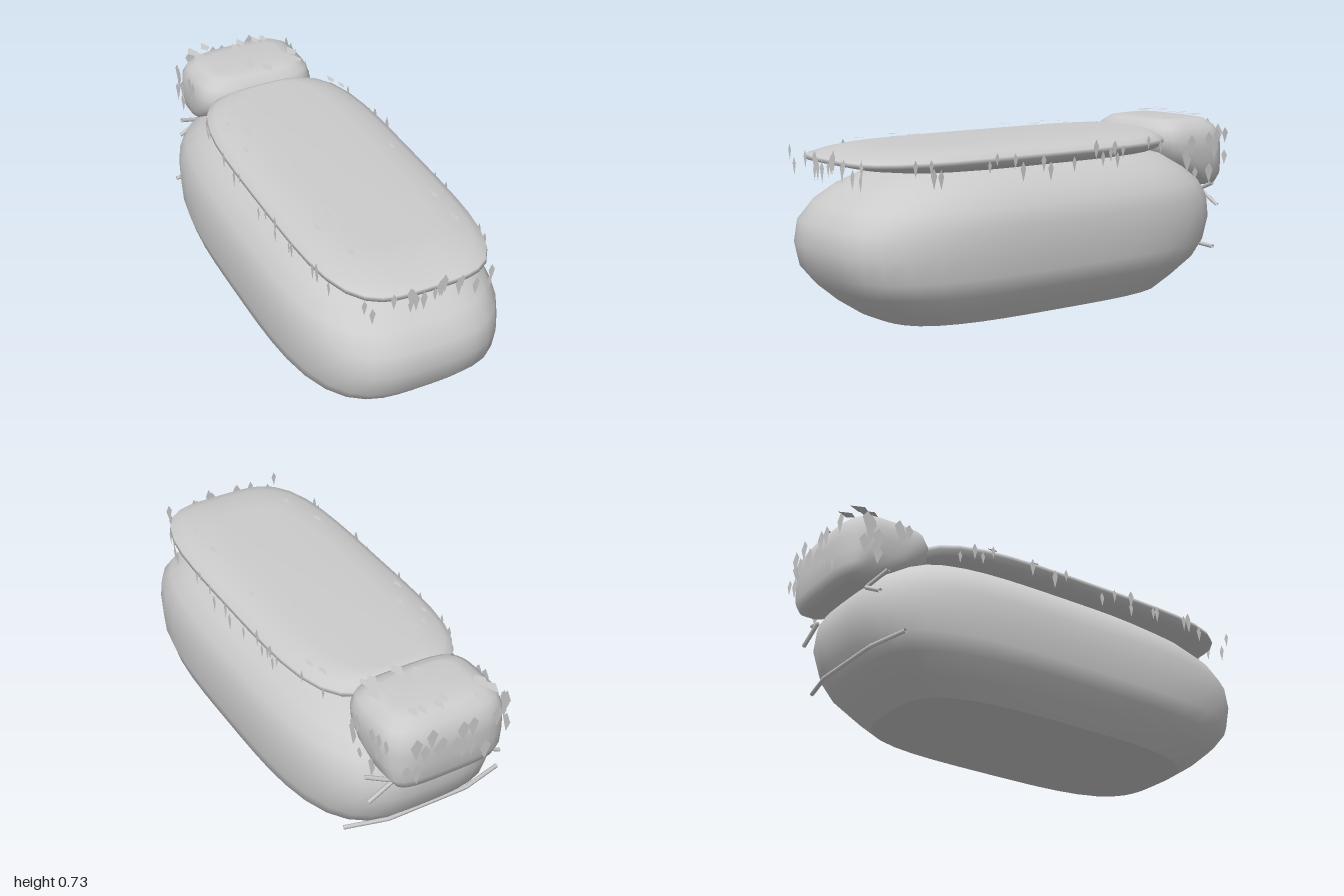
import * as THREE from 'three';

const grey = new THREE.MeshStandardMaterial({ color: 0xcccccc, side: THREE.DoubleSide });

// Stacks rounded-rectangle rings; each level is [y, half width, back z, front z]
function loft(name, levels, power, flatBase) {
  const N = 48, pos = [], idx = [];
  const first = levels[0], last = levels[levels.length - 1];
  const centre = ([y, , a, b]) => [y, 0, (a + b) / 2, (a + b) / 2];
  const rings = [centre(first), ...(flatBase ? [first] : []), ...levels, centre(last)];
  for (const [y, hx, zb, zf] of rings) {
    for (let i = 0; i < N; i++) {
      const t = (i / N) * Math.PI * 2, c = Math.cos(t), s = Math.sin(t);
      const r = Math.pow(Math.abs(c) ** power + Math.abs(s) ** power, -1 / power);
      pos.push(c * r * hx, y, (zb + zf) / 2 + s * r * (zf - zb) / 2);
    }
  }
  for (let j = 0; j < rings.length - 1; j++) {
    for (let i = 0; i < N; i++) {
      const a = j * N + i, b = j * N + (i + 1) % N, c = a + N, d = b + N;
      idx.push(a, c, b, b, c, d);
    }
  }
  const g = new THREE.BufferGeometry();
  g.setAttribute('position', new THREE.Float32BufferAttribute(pos, 3));
  g.setIndex(idx);
  g.computeVertexNormals();
  const mesh = new THREE.Mesh(g, grey);
  mesh.name = name;
  return mesh;
}

// Flat kite with its long tip pointing down
function kiteGeometry(w, h) {
  return new THREE.ShapeGeometry(new THREE.Shape([
    new THREE.Vector2(0, h * 0.35), new THREE.Vector2(-w / 2, 0),
    new THREE.Vector2(0, -h * 0.65), new THREE.Vector2(w / 2, 0),
  ]));
}

export function createModel() {
  const model = new THREE.Group();
  let seed = 7;
  const rnd = (a, b) => {
    seed = (seed * 16807) % 2147483647;
    return a + (b - a) * (seed / 2147483647);
  };

  // Plump body with a flat base
  model.add(loft('body', [
    [0, 0.32, -0.63, 0.74], [0.06, 0.375, -0.71, 0.83], [0.13, 0.43, -0.79, 0.91],
    [0.2, 0.447, -0.845, 0.97], [0.3, 0.446, -0.88, 0.995], [0.39, 0.441, -0.87, 0.98],
    [0.46, 0.415, -0.83, 0.92], [0.52, 0.365, -0.76, 0.83], [0.58, 0.29, -0.66, 0.69],
    [0.61, 0.2, -0.5, 0.52],
  ], 3.5, true));

  // Thin slab lying on the body
  model.add(loft('topSlab', [
    [0.59, 0.25, -0.52, 0.6], [0.6, 0.3, -0.57, 0.75], [0.615, 0.338, -0.61, 0.86],
    [0.635, 0.36, -0.63, 0.945], [0.652, 0.358, -0.63, 0.94], [0.67, 0.325, -0.61, 0.88],
    [0.685, 0.27, -0.59, 0.8], [0.695, 0.2, -0.56, 0.7],
  ], 4));

  // Rounded block overhanging the back
  model.add(loft('backBlock', [
    [0.415, 0.18, -0.93, -0.86], [0.43, 0.22, -0.96, -0.82], [0.47, 0.25, -0.975, -0.74],
    [0.53, 0.265, -0.98, -0.64], [0.59, 0.27, -0.98, -0.585], [0.64, 0.268, -0.975, -0.575],
    [0.685, 0.25, -0.95, -0.59], [0.715, 0.21, -0.91, -0.63], [0.725, 0.16, -0.86, -0.67],
  ], 4));

  // Scattered kite-shaped tufts
  const tufts = (name, w, h, count, place) => {
    const group = new THREE.Group(), g = kiteGeometry(w, h);
    group.name = name;
    for (let i = 0; i < count; i++) {
      const m = new THREE.Mesh(g, grey);
      m.name = 'tuft';
      place(m, i);
      m.scale.setScalar(rnd(0.75, 1.2));
      group.add(m);
    }
    model.add(group);
  };
  tufts('slabFrontTufts', 0.026, 0.075, 18, (m) => {
    m.position.set(rnd(-0.29, 0.29), rnd(0.59, 0.67), 0.945);
  });
  tufts('slabSideTufts', 0.024, 0.07, 40, (m, i) => {
    const z = rnd(-0.52, 0.82), side = i % 2 ? 1 : -1;
    const x = 0.36 * Math.pow(1 - Math.abs((z - 0.158) / 0.79) ** 4, 0.25);
    m.position.set(side * (x + 0.002), rnd(0.59, 0.66), z);
    m.rotation.y = side * Math.PI / 2;
  });
  tufts('slabTopTufts', 0.022, 0.06, 28, (m) => {
    m.position.set(rnd(-0.3, 0.3), 0.699, rnd(-0.5, 0.78));
    m.rotation.x = Math.PI / 2;
  });
  tufts('blockBackTufts', 0.045, 0.085, 16, (m) => {
    m.position.set(rnd(-0.23, 0.23), rnd(0.47, 0.68), -0.984);
    m.rotation.y = Math.PI;
  });
  tufts('blockSideTufts', 0.045, 0.085, 20, (m, i) => {
    const side = i % 2 ? 1 : -1;
    m.position.set(side * 0.274, rnd(0.47, 0.67), rnd(-0.93, -0.64));
    m.rotation.y = side * Math.PI / 2;
  });
  tufts('blockTopTufts', 0.045, 0.08, 16, (m) => {
    m.position.set(rnd(-0.22, 0.22), 0.728, rnd(-0.93, -0.63));
    m.rotation.x = Math.PI / 2;
  });

  // Thin strokes on the back: squeezed eyes and a long mouth
  const stroke = (name, points) => {
    const path = new THREE.CurvePath();
    const v = points.map((p) => new THREE.Vector3(...p));
    for (let i = 1; i < v.length; i++) path.add(new THREE.LineCurve3(v[i - 1], v[i]));
    const m = new THREE.Mesh(new THREE.TubeGeometry(path, 24, 0.009, 6), grey);
    m.name = name;
    model.add(m);
  };
  for (const [s, name] of [[1, 'leftEye'], [-1, 'rightEye']]) {
    stroke(name, [[s * 0.3, 0.44, -0.83], [s * 0.19, 0.4, -0.862], [s * 0.3, 0.34, -0.862]]);
  }
  stroke('mouth', [[-0.36, 0.17, -0.78], [-0.18, 0.165, -0.822], [0.18, 0.165, -0.822], [0.36, 0.17, -0.78]]);

  return model;
}
